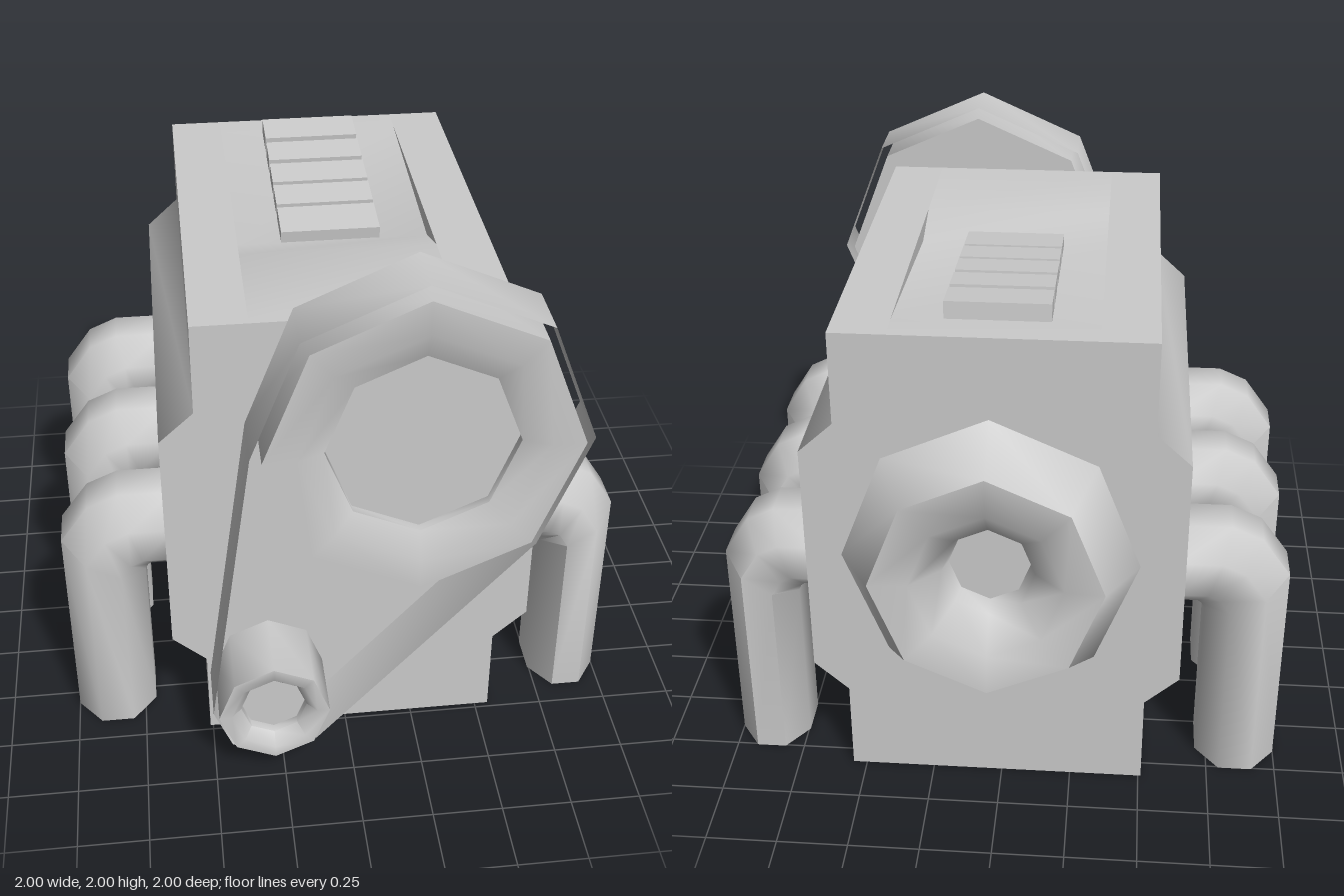
import * as THREE from 'three';
import { toCreasedNormals } from 'three/addons/utils/BufferGeometryUtils.js';

const material = new THREE.MeshStandardMaterial({ color: 0xcccccc });
const sheetMaterial = new THREE.MeshStandardMaterial({ color: 0xcccccc, side: THREE.DoubleSide });

function part(name, geometry, crease = 0.9, mat = material) {
  const mesh = new THREE.Mesh(toCreasedNormals(geometry, crease), mat);
  mesh.name = name;
  return mesh;
}

function extrude(points, depth) {
  const shape = new THREE.Shape(points.map(([x, y]) => new THREE.Vector2(x, y)));
  return new THREE.ExtrudeGeometry(shape, { depth, bevelEnabled: false });
}

// Eight-sided turned part along z, slightly narrower than tall
function turned(name, profile, x, y) {
  const geo = new THREE.LatheGeometry(profile.map(([r, z]) => new THREE.Vector2(r, z)), 8);
  geo.rotateX(Math.PI / 2);
  geo.scale(0.935, 1, 1);
  geo.translate(x, y, 0);
  return part(name, geo);
}

// Dished pulley with a rounded rim
function pulley(name, r, inner, x, y) {
  const mid = inner + (r - inner) * 0.45;
  return turned(name, [[0, 0.74], [r, 0.74], [r, 1], [mid, 1], [inner, 0.96], [inner, 0.93], [0, 0.93]], x, y);
}

// Bent exhaust: octagonal rings spanned between outer and inner bend lines
function exhaustGeometry(side, narrow) {
  const stations = [
    [[1, 0], [0.71, 0]],
    [[1, 0.8], [0.71, 0.645]],
    [[0.9, 0.937], [0.7, 0.665]],
    [[0.79, 0.985], [0.685, 0.675]],
    [[0.6, 0.985], [0.6, 0.675]],
  ];
  const n = 8, positions = [], index = [];
  const apothem = Math.cos(Math.PI / n);
  const tri = (a, b, c) => (side < 0 ? index.push(a, b, c) : index.push(a, c, b));
  stations.forEach(([o, i], s) => {
    for (let k = 0; k < n; k++) {
      const a = ((k + 0.5) / n) * Math.PI * 2;
      const t = (1 + Math.cos(a) / apothem) / 2;
      const x = i[0] + (o[0] - i[0]) * t;
      positions.push(side * (1 - (1 - x) * narrow), i[1] + (o[1] - i[1]) * t, 0.177 * Math.sin(a) / apothem);
      if (s > 0) {
        const p = (s - 1) * n, q = (k + 1) % n;
        tri(p + k, p + q, p + n + k);
        tri(p + q, p + n + q, p + n + k);
      }
    }
  });
  for (let k = 1; k < n - 1; k++) tri(0, k + 1, k); // bottom cap
  const geo = new THREE.BufferGeometry();
  geo.setAttribute('position', new THREE.Float32BufferAttribute(positions, 3));
  geo.setIndex(index);
  return geo;
}

// Thin belt around both pulleys
function beltGeometry() {
  const path = [];
  const arc = (cx, cy, rx, ry, from, to) => {
    for (let d = from; d <= to; d += 45) {
      const a = THREE.MathUtils.degToRad(d);
      path.push([cx + rx * Math.cos(a), cy + ry * Math.sin(a)]);
    }
  };
  arc(0.215, 1.4, 0.56, 0.6, -45, 180);
  arc(-0.285, 0.3, 0.215, 0.225, 180, 315);
  const positions = [], index = [], n = path.length;
  path.forEach(([x, y], k) => {
    positions.push(x, y, 0.76, x, y, 0.97);
    const a = 2 * k, b = 2 * ((k + 1) % n);
    index.push(a, b, a + 1, b, b + 1, a + 1);
  });
  const geo = new THREE.BufferGeometry();
  geo.setAttribute('position', new THREE.Float32BufferAttribute(positions, 3));
  geo.setIndex(index);
  return geo;
}

export function createModel() {
  const model = new THREE.Group();
  model.name = 'engine';

  // Block with a channel along the top
  const block = extrude([
    [-0.51, 0], [0.55, 0], [0.55, 0.34], [0.67, 0.45], [0.67, 1.32], [0.55, 1.43], [0.55, 1.76],
    [0.36, 1.76], [0.36, 1.6], [-0.32, 1.6], [-0.32, 1.76],
    [-0.51, 1.76], [-0.51, 1.43], [-0.63, 1.32], [-0.63, 0.45], [-0.51, 0.34],
  ], 1.55);
  block.translate(0, 0, -0.82);
  model.add(part('engineBlock', block));

  // Channel filler with a shallow sloped recess
  const cover = extrude([
    [-0.73, 1.6], [0.82, 1.6], [0.82, 1.76], [0.72, 1.76], [-0.1, 1.7], [-0.28, 1.76], [-0.73, 1.76],
  ], 0.68);
  cover.rotateY(Math.PI / 2);
  cover.translate(-0.32, 0, 0);
  model.add(part('topCover', cover));

  // Vent slats stepping up towards the back
  const slats = new THREE.Group();
  slats.name = 'ventSlats';
  [[-0.69, -0.545], [-0.515, -0.385], [-0.36, -0.23], [-0.21, -0.08], [-0.06, 0.1]].forEach(([z0, z1]) => {
    const z = (z0 + z1) / 2;
    const slat = part('ventSlat', new THREE.BoxGeometry(0.35, 0.06, z1 - z0));
    slat.position.set(0.015, 1.723 - 0.1 * z, z);
    slat.rotation.x = 0.1;
    slats.add(slat);
  });
  model.add(slats);

  // Pulleys and belt
  model.add(pulley('largePulley', 0.56, 0.343, 0.215, 1.403));
  model.add(pulley('smallPulley', 0.21, 0.125, -0.285, 0.305));
  model.add(part('driveBelt', beltGeometry(), 0.9, sheetMaterial));

  // Rounded ring on the back
  model.add(turned('rearRing', [
    [0, -0.83], [0.15, -0.83], [0.17, -0.89], [0.28, -0.99], [0.425, -1], [0.55, -0.815],
  ], 0.035, 0.92));

  // Three exhaust pipes on each side
  for (const [side, narrow, name] of [[-1, 1, 'rightExhaust'], [1, 0.88, 'leftExhaust']]) {
    for (const z of [0.485, -0.045, -0.578]) {
      const pipe = part(name, exhaustGeometry(side, narrow));
      pipe.position.z = z;
      model.add(pipe);
    }
  }
  return model;
}
